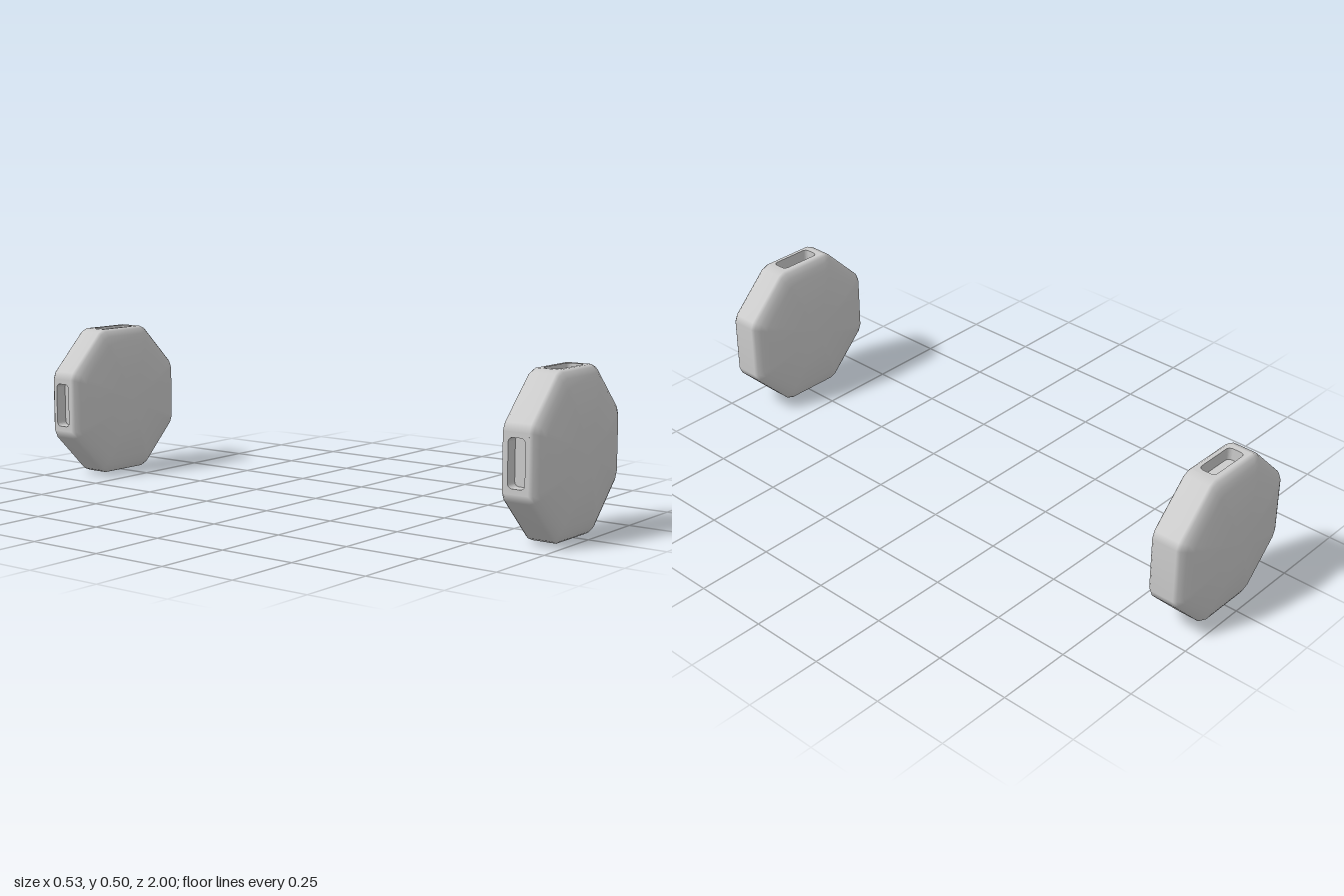
import * as THREE from 'three';

const material = new THREE.MeshStandardMaterial({ color: 0xcccccc });
const APOTHEM = 0.251, HALF_SIDE = 0.09, HALF_RIM = 0.04, SLOT_DEPTH = 0.04;
const SLOT_SIDES = [2, 4]; // octagon sides with a slot: top and -x

// Half profile: [height from middle plane, scale of the octagon]
const PROFILE = [
  [0.0875, 0], [0.0865, 0.28], [0.083, 0.48], [0.077, 0.64], [0.068, 0.8],
  [0.06, 0.9], [0.05, 0.97], [HALF_RIM, 1],
];

// Octagon with slightly cut corners: two points per side
function outline() {
  const points = [];
  for (let k = 0; k < 8; k++) {
    const c = Math.cos(k * Math.PI / 4), s = Math.sin(k * Math.PI / 4);
    for (const t of [-HALF_SIDE, HALF_SIDE]) {
      points.push([APOTHEM * c - t * s, APOTHEM * s + t * c]);
    }
  }
  return points;
}

// Pillow-shaped shell, left open on the rim where the slot panels sit
function shellGeometry() {
  const points = outline(), n = points.length;
  const rings = [...PROFILE, ...PROFILE.map(([z, s]) => [-z, s]).reverse()];
  const position = rings.flatMap(([z, s]) => points.flatMap(([x, y]) => [x * s, y * s, z]));
  const all = [], open = [];
  for (let i = 0; i < rings.length - 1; i++) {
    for (let j = 0; j < n; j++) {
      const a = i * n + j, b = i * n + (j + 1) % n, c = a + n, d = b + n;
      const quad = [a, c, b, b, c, d];
      all.push(...quad);
      const slotted = i === PROFILE.length - 1 && SLOT_SIDES.some((k) => j === 2 * k);
      if (!slotted) open.push(...quad);
    }
  }
  const geometry = new THREE.BufferGeometry();
  geometry.setAttribute('position', new THREE.Float32BufferAttribute(position, 3));
  geometry.setIndex(all);
  geometry.computeVertexNormals();
  geometry.setIndex(open);
  return geometry;
}

// Rounded rectangle path for the slot opening
function roundedRect(path, w, h, r) {
  path.moveTo(-w + r, -h);
  path.lineTo(w - r, -h);
  path.absarc(w - r, -h + r, r, -Math.PI / 2, 0);
  path.lineTo(w, h - r);
  path.absarc(w - r, h - r, r, 0, Math.PI / 2);
  path.lineTo(-w + r, h);
  path.absarc(-w + r, h - r, r, Math.PI / 2, Math.PI);
  path.lineTo(-w, -h + r);
  path.absarc(-w + r, -h + r, r, Math.PI, Math.PI * 1.5);
  return path;
}

// Rim panel with a rounded slot and a floor behind it
function createSlot(side) {
  const slot = new THREE.Group();
  slot.name = 'strapSlot';
  const shape = new THREE.Shape();
  shape.moveTo(-HALF_SIDE, -HALF_RIM);
  shape.lineTo(HALF_SIDE, -HALF_RIM);
  shape.lineTo(HALF_SIDE, HALF_RIM);
  shape.lineTo(-HALF_SIDE, HALF_RIM);
  shape.closePath();
  shape.holes.push(roundedRect(new THREE.Path(), 0.073, 0.028, 0.015));
  const panel = new THREE.Mesh(
    new THREE.ExtrudeGeometry(shape, { depth: SLOT_DEPTH, bevelEnabled: false, curveSegments: 5 }),
    material);
  panel.name = 'slotPanel';
  panel.position.z = -SLOT_DEPTH;
  const floor = new THREE.Mesh(new THREE.PlaneGeometry(0.16, 0.07), material);
  floor.name = 'slotFloor';
  floor.position.z = -SLOT_DEPTH + 0.001;
  slot.add(panel, floor);

  const angle = side * Math.PI / 4;
  const outward = new THREE.Vector3(Math.cos(angle), Math.sin(angle), 0);
  const along = new THREE.Vector3(-Math.sin(angle), Math.cos(angle), 0);
  slot.quaternion.setFromRotationMatrix(
    new THREE.Matrix4().makeBasis(along, new THREE.Vector3(0, 0, 1), outward));
  slot.position.copy(outward).multiplyScalar(APOTHEM);
  return slot;
}

function createPad(name, x, z) {
  const pad = new THREE.Group();
  pad.name = name;
  const shell = new THREE.Mesh(shellGeometry(), material);
  shell.name = 'padShell';
  pad.add(shell, ...SLOT_SIDES.map(createSlot));
  pad.position.set(x, APOTHEM, z);
  return pad;
}

export function createModel() {
  const model = new THREE.Group();
  model.name = 'octagonalPads';
  model.add(createPad('frontPad', -0.012, 0.9125), createPad('backPad', 0.012, -0.9125));
  return model;
}
